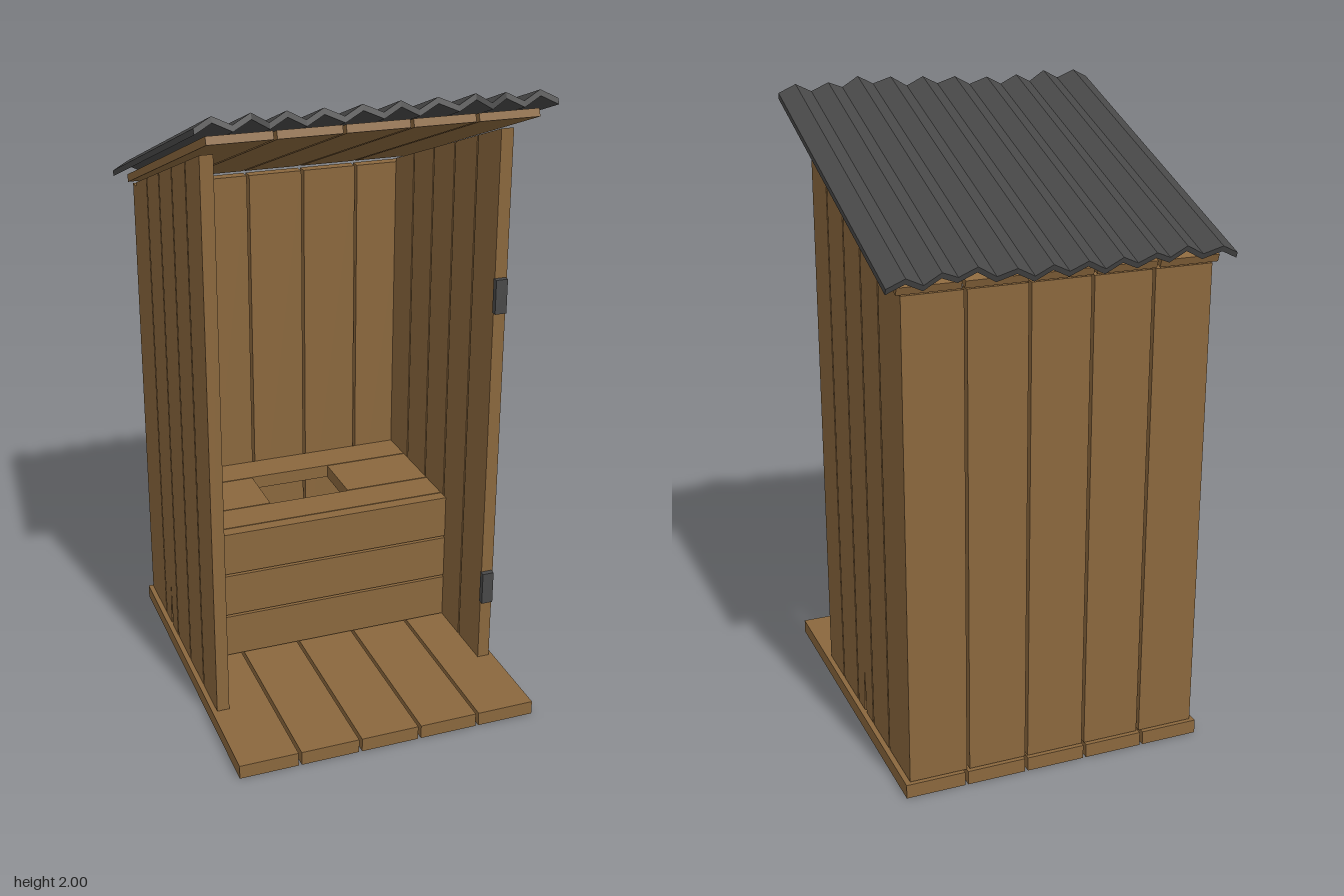
import * as THREE from 'three';

const wood = new THREE.MeshStandardMaterial({ color: 0x8a673d });
wood.name = 'wood';
const metal = new THREE.MeshStandardMaterial({ color: 0x484848 });
metal.name = 'dark metal';

// Box given by its limits on each axis
function board(parent, name, [x0, x1], [y0, y1], [z0, z1], material = wood) {
  const mesh = new THREE.Mesh(new THREE.BoxGeometry(x1 - x0, y1 - y0, z1 - z0), material);
  mesh.position.set((x0 + x1) / 2, (y0 + y1) / 2, (z0 + z1) / 2);
  mesh.name = name;
  parent.add(mesh);
}

// Splits a span into equal planks with a gap between neighbours
function split(from, to, count, gap) {
  const w = (to - from - gap * (count - 1)) / count;
  return Array.from({ length: count }, (_, i) => {
    const a = from + i * (w + gap);
    return [a, a + w];
  });
}

function group(parent, name) {
  const g = new THREE.Group();
  g.name = name;
  parent.add(g);
  return g;
}

// Side wall plank with a sloping top and an optional split at the foot
function sidePlank([z0, z1], outerX, crack) {
  const top = (z) => 1.85 + (z - 0.3) * 0.355;
  const s = new THREE.Shape();
  s.moveTo(z0, 0.048);
  if (crack) {
    const c = (z0 + z1) / 2;
    s.lineTo(c - 0.009, 0.048);
    s.lineTo(c + 0.002, 0.21);
    s.lineTo(c + 0.009, 0.048);
  }
  s.lineTo(z1, 0.048);
  s.lineTo(z1, top(z1));
  s.lineTo(z0, top(z0));
  const geo = new THREE.ExtrudeGeometry(s, { depth: 0.04, bevelEnabled: false });
  geo.rotateY(-Math.PI / 2).translate(outerX, 0, 0);
  const mesh = new THREE.Mesh(geo, wood);
  mesh.name = 'sidePlank';
  return mesh;
}

// Zigzag metal sheet with uneven ends, in the tilted roof frame
function corrugatedSheet(tilt) {
  const front = [0.46, 0.447, 0.46, 0.453, 0.447, 0.435, 0.44, 0.431, 0.45, 0.445, 0.466,
    0.456, 0.462, 0.465, 0.487, 0.479, 0.475, 0.45, 0.46, 0.45, 0.46];
  const back = [0.575, 0.585, 0.565, 0.568, 0.565, 0.585, 0.575, 0.59, 0.586, 0.59, 0.58,
    0.59, 0.585, 0.59, 0.57, 0.566, 0.556, 0.575, 0.575, 0.585, 0.575];
  const thick = 0.018, wave = 0.028, cos = Math.cos(tilt), sin = Math.sin(tilt);
  const pos = [], index = [];
  front.forEach((f, i) => {
    const x = -0.53 + i * 0.053;
    const low = i % 2 ? wave : 0;
    const high = low + thick;
    const zf = (f + sin * low) / cos;
    const zb = (-back[i] + sin * high) / cos;
    pos.push(x, low, zf, x, high, zf, x, high, zb, x, low, zb);
    if (i === 0) return;
    for (let k = 0; k < 4; k++) {
      const a = (i - 1) * 4 + k, b = (i - 1) * 4 + ((k + 1) % 4);
      index.push(a, a + 4, b, a + 4, b + 4, b);
    }
  });
  const e = (front.length - 1) * 4;
  index.push(0, 1, 2, 0, 2, 3, e, e + 2, e + 1, e, e + 3, e + 2);
  const indexed = new THREE.BufferGeometry();
  indexed.setAttribute('position', new THREE.Float32BufferAttribute(pos, 3));
  indexed.setIndex(index);
  const geo = indexed.toNonIndexed();
  geo.computeVertexNormals();
  const mesh = new THREE.Mesh(geo, metal);
  mesh.name = 'corrugatedSheet';
  return mesh;
}

export function createModel() {
  const model = new THREE.Group();
  model.name = 'outhouse';

  // Floor
  const floor = group(model, 'floor');
  for (const x of split(-0.49, 0.49, 5, 0.01)) board(floor, 'floorPlank', x, [0, 0.045], [-0.54, 0.59]);

  // Back wall
  const backWall = group(model, 'backWall');
  for (const x of split(-0.475, 0.475, 5, 0.009)) board(backWall, 'backPlank', x, [0.048, 1.557], [-0.53, -0.49]);

  // Side walls, one split plank on each side
  const planks = split(-0.49, 0.3, 5, 0.007);
  const leftWall = group(model, 'leftWall');
  const rightWall = group(model, 'rightWall');
  planks.forEach((z, i) => {
    leftWall.add(sidePlank(z, 0.475, i === 2));
    rightWall.add(sidePlank(z, -0.435, i === 1));
  });

  // Bench: front panel, then seat boards around a square hole
  const bench = group(model, 'bench');
  const inside = [-0.435, 0.435], seatY = [0.46, 0.505];
  for (const y of split(0.05, 0.505, 3, 0.008)) board(bench, 'benchFront', inside, y, [-0.035, 0.005]);
  board(bench, 'seatFrontBoard', inside, seatY, [-0.16, -0.039]);
  board(bench, 'seatBackBoard', inside, seatY, [-0.49, -0.37]);
  board(bench, 'seatRightBoard', [-0.435, -0.14], seatY, [-0.366, -0.164]);
  board(bench, 'seatLeftBoard', [0.14, 0.435], seatY, [-0.366, -0.164]);

  // Door hinges
  for (const y of [0.32, 1.335]) board(model, 'hinge', [0.432, 0.47], [y - 0.055, y + 0.055], [0.298, 0.318], metal);

  // Sloping roof: planks under a metal sheet
  const tilt = 0.346;
  const roof = group(model, 'roof');
  roof.position.y = 1.781;
  roof.rotation.x = -tilt;
  for (const x of split(-0.49, 0.49, 5, 0.01)) board(roof, 'roofPlank', x, [-0.025, -0.001], [-0.578, 0.447]);
  roof.add(corrugatedSheet(tilt));

  return model;
}
